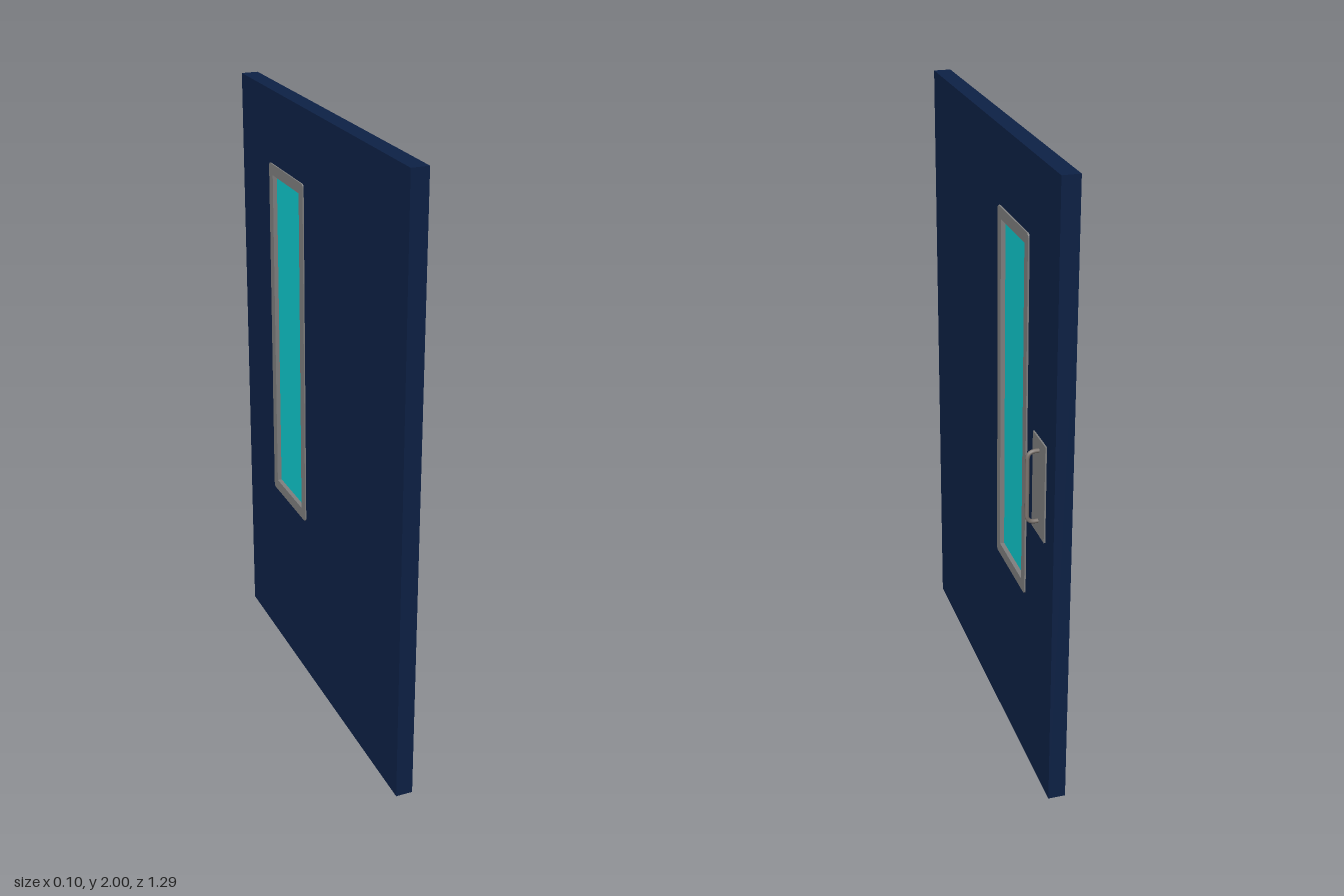
import * as THREE from 'three';

const mat = (name, color) => {
  const m = new THREE.MeshStandardMaterial({ color });
  m.name = name;
  return m;
};

// Rectangle with rounded corners, in door-face coordinates (u = -z, v = y)
function roundedRect(target, u0, v0, u1, v1, r) {
  target.moveTo(u0 + r, v0);
  target.lineTo(u1 - r, v0);
  target.quadraticCurveTo(u1, v0, u1, v0 + r);
  target.lineTo(u1, v1 - r);
  target.quadraticCurveTo(u1, v1, u1 - r, v1);
  target.lineTo(u0 + r, v1);
  target.quadraticCurveTo(u0, v1, u0, v1 - r);
  target.lineTo(u0, v0 + r);
  target.quadraticCurveTo(u0, v0, u0 + r, v0);
  return target;
}

function rect(target, u0, v0, u1, v1) {
  target.moveTo(u0, v0);
  target.lineTo(u1, v0);
  target.lineTo(u1, v1);
  target.lineTo(u0, v1);
  target.closePath();
  return target;
}

// Extrude a face outline through the door's thickness, from x0 to x1
function slab(shape, x0, x1) {
  const g = new THREE.ExtrudeGeometry(shape, { depth: x1 - x0, bevelEnabled: false, curveSegments: 4 });
  return g.rotateY(Math.PI / 2).translate(x0, 0, 0);
}

export function createModel() {
  const group = new THREE.Group();
  group.name = 'door';
  const navy = mat('navy paint', 0x0d2146);
  const steel = mat('grey metal', 0x808080);
  const glass = mat('cyan glass', 0x0fcbcf);
  const handleMetal = mat('handle metal', 0x7c746e);

  const add = (name, geometry, material) => {
    const m = new THREE.Mesh(geometry, material);
    m.name = name;
    group.add(m);
    return m;
  };

  // Door leaf with an opening for the window
  const leaf = rect(new THREE.Shape(), -0.643, 0, 0.643, 2);
  leaf.holes.push(rect(new THREE.Path(), 0.115, 0.615, 0.375, 1.75));
  add('doorLeaf', slab(leaf, -0.05, 0.005), navy);

  // Window frame, standing slightly proud on both faces
  const frame = roundedRect(new THREE.Shape(), 0.1, 0.6, 0.39, 1.765, 0.012);
  frame.holes.push(rect(new THREE.Path(), 0.133, 0.637, 0.358, 1.729));
  add('windowFrame', slab(frame, -0.054, 0.01), steel);

  // Recessed pane
  add('windowPane', new THREE.BoxGeometry(0.036, 1.1, 0.233).translate(-0.022, 1.183, -0.2455), glass);

  // Handle backing plate
  add('handlePlate', new THREE.BoxGeometry(0.006, 0.312, 0.114).translate(0.007, 1.037, -0.512), steel);

  // Pull handle: bar with rounded bends
  const p = (x, y) => new THREE.Vector3(x, y, -0.512);
  const yLow = 0.926, yHigh = 1.156, xOut = 0.044, bend = 0.024;
  const path = new THREE.CurvePath();
  path.add(new THREE.LineCurve3(p(0.006, yLow), p(xOut - bend, yLow)));
  path.add(new THREE.QuadraticBezierCurve3(p(xOut - bend, yLow), p(xOut, yLow), p(xOut, yLow + bend)));
  path.add(new THREE.LineCurve3(p(xOut, yLow + bend), p(xOut, yHigh - bend)));
  path.add(new THREE.QuadraticBezierCurve3(p(xOut, yHigh - bend), p(xOut, yHigh), p(xOut - bend, yHigh)));
  path.add(new THREE.LineCurve3(p(xOut - bend, yHigh), p(0.006, yHigh)));
  add('pullHandle', new THREE.TubeGeometry(path, 80, 0.0065, 12, false), handleMetal);

  return group;
}
